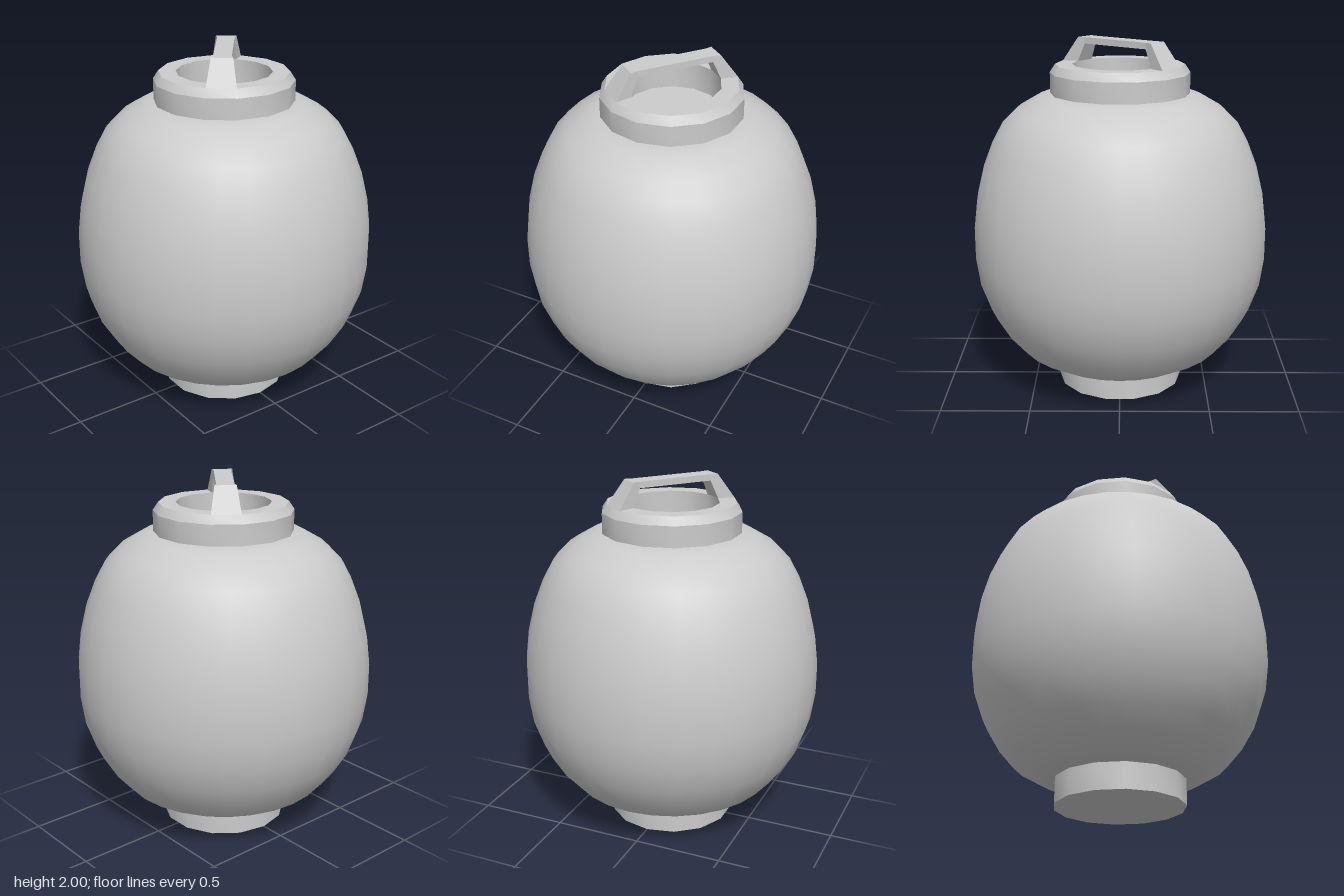
import * as THREE from 'three';
import { toCreasedNormals } from 'three/addons/utils/BufferGeometryUtils.js';

const material = new THREE.MeshStandardMaterial({ color: 0xcccccc });
const STEP = (Math.PI * 2) / 14; // one side of the 14-sided rings

function mesh(name, geometry) {
  const m = new THREE.Mesh(geometry, material);
  m.name = name;
  return m;
}

// Turned part from [radius, height] pairs, with a corner on the x axis
function turned(name, profile, sides, crease) {
  const points = profile.map(([r, y]) => new THREE.Vector2(r, y));
  const geometry = new THREE.LatheGeometry(points, sides, Math.PI / 2);
  return mesh(name, toCreasedNormals(geometry, crease));
}

// Handle: four-cornered sections swept up one leg, over the bar and down the other.
// Its width follows one side of the ring, so it narrows toward the centre.
function handleGeometry() {
  // outer radius, outer height, inner radius, inner height
  const leg = [
    [0.36, 1.865, 0.265, 1.865],
    [0.262, 2.0, 0.22, 1.965],
    [0.22, 2.0, 0.22, 1.965],
  ];
  const half = STEP / 2;
  const sections = [
    ...leg.map((s) => [-1, ...s]),
    ...leg.slice().reverse().map((s) => [1, ...s]),
  ];
  const positions = [];
  for (const [side, ro, yo, ri, yi] of sections) {
    const corner = (r, y, w) => positions.push(side * r * Math.cos(half), y, w * r * Math.sin(half));
    corner(ro, yo, 1);
    corner(ro, yo, -1);
    corner(ri, yi, -1);
    corner(ri, yi, 1);
  }
  const index = [];
  for (let k = 0; k < sections.length - 1; k++) {
    for (let i = 0; i < 4; i++) {
      const j = (i + 1) % 4;
      const a = k * 4 + i, b = k * 4 + j;
      index.push(a, a + 4, b, a + 4, b + 4, b);
    }
  }
  const geometry = new THREE.BufferGeometry();
  geometry.setAttribute('position', new THREE.Float32BufferAttribute(positions, 3));
  geometry.setIndex(index);
  const flat = geometry.toNonIndexed();
  flat.computeVertexNormals();
  return flat;
}

export function createModel() {
  const group = new THREE.Group();
  group.name = 'lantern';

  // Rounded shade
  group.add(turned('shade', [
    [0, 0.145], [0.4, 0.145], [0.465, 0.168], [0.59, 0.24], [0.68, 0.345], [0.757, 0.475],
    [0.812, 0.63], [0.835, 0.79], [0.835, 0.97], [0.815, 1.13], [0.775, 1.29],
    [0.72, 1.43], [0.66, 1.54], [0.58, 1.62], [0.46, 1.69], [0.4, 1.705], [0, 1.705],
  ], 28, 0.6));

  // Foot
  group.add(turned('base', [[0, 0], [0.36, 0], [0.36, 0.15]], 14, 0.5));

  // Chamfered collar with a round recess
  group.add(turned('collar', [
    [0.39, 1.7], [0.39, 1.82], [0.36, 1.865], [0.265, 1.865], [0.265, 1.71], [0, 1.71],
  ], 14, 0.5));

  // Carrying handle, set diagonally across the collar
  const handle = mesh('handle', handleGeometry());
  handle.rotation.y = -1.5 * STEP;
  group.add(handle);

  return group;
}
